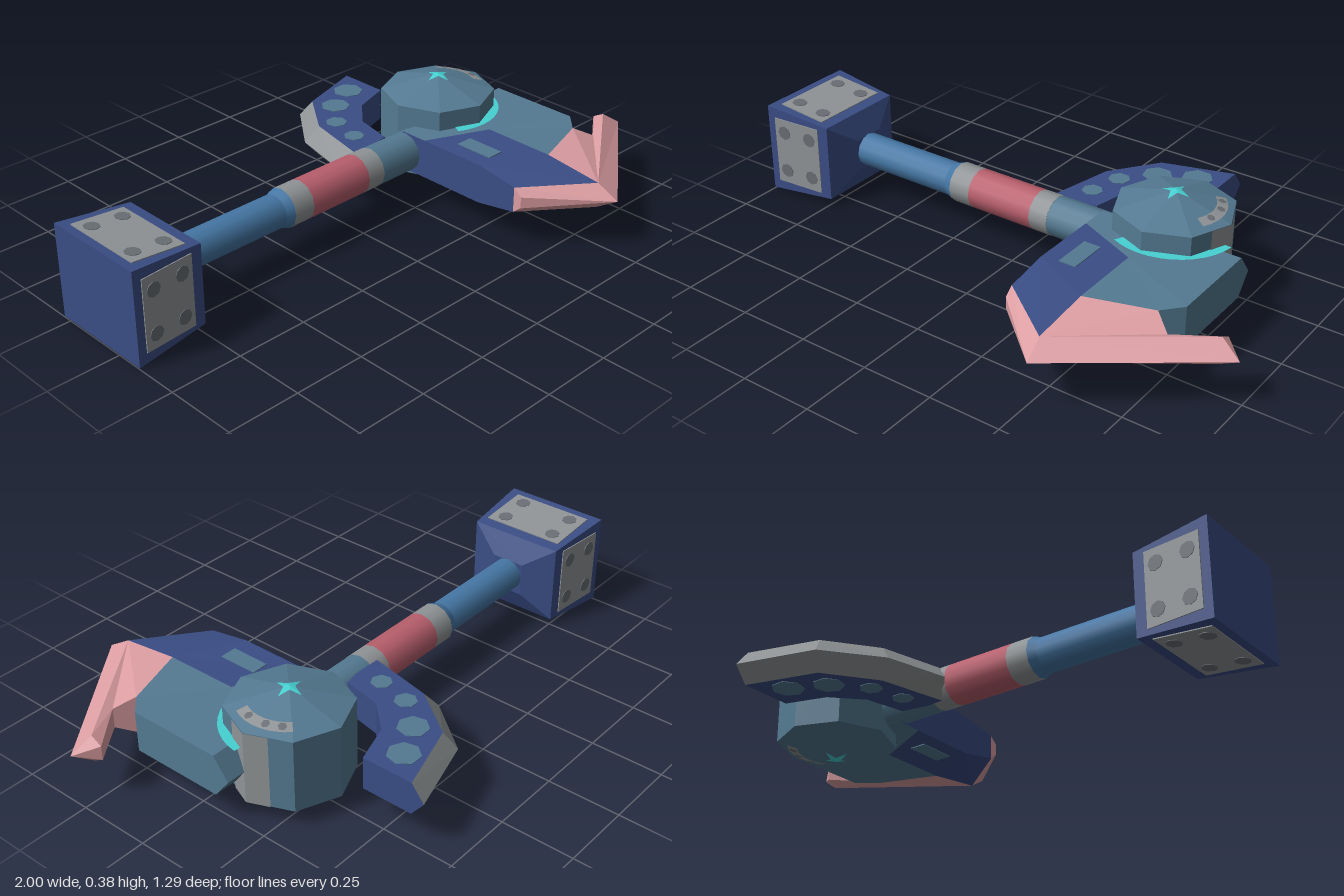
import * as THREE from 'three';

const mat = (name, color) => Object.assign(new THREE.MeshStandardMaterial({ color }), { name });

export function createModel() {
  const M = {
    navy: mat('navy', 0x3a4d85), steel: mat('steel blue', 0x547a92), shaft: mat('shaft blue', 0x4577a5),
    pink: mat('blade pink', 0xdc9ea2), red: mat('grip red', 0xb95f6d), gray: mat('gray', 0x909496),
    dark: mat('dark gray', 0x6a6f75), cyan: mat('cyan', 0x45d0d0),
  };
  const model = new THREE.Group();
  const group = (name, parent = model, x = 0, y = 0, z = 0) => {
    const g = new THREE.Group();
    g.name = name;
    g.position.set(x, y, z);
    parent.add(g);
    return g;
  };
  const add = (name, geo, m, parent = model, x = 0, y = 0, z = 0) => {
    const mesh = new THREE.Mesh(geo, m);
    mesh.name = name;
    mesh.position.set(x, y, z);
    parent.add(mesh);
    return mesh;
  };
  const flat = (geo) => {
    const g = geo.index ? geo.toNonIndexed() : geo;
    g.computeVertexNormals();
    return g;
  };

  // Slab symmetric about its mid plane: points are [x, z, half thickness],
  // faces are polygons of the upper side, walls are counter-clockwise edge runs
  function slab(name, pts, parts, parent) {
    for (const [key, { faces, walls = [] }] of Object.entries(parts)) {
      const pos = [];
      const v = (i, s) => pos.push(pts[i][0], s * pts[i][2], pts[i][1]);
      for (const f of faces) for (let k = 1; k < f.length - 1; k++) {
        let [a, b, c] = [f[0], f[k], f[k + 1]];
        const up = (pts[b][1] - pts[a][1]) * (pts[c][0] - pts[a][0]) - (pts[b][0] - pts[a][0]) * (pts[c][1] - pts[a][1]);
        if (up < 0) [b, c] = [c, b];
        v(a, 1); v(b, 1); v(c, 1);
        v(a, -1); v(c, -1); v(b, -1);
      }
      for (const w of walls) for (let k = 0; k < w.length - 1; k++) {
        const a = w[k], b = w[k + 1];
        v(a, -1); v(b, -1); v(b, 1);
        v(a, -1); v(b, 1); v(a, 1);
      }
      const g = new THREE.BufferGeometry();
      g.setAttribute('position', new THREE.Float32BufferAttribute(pos, 3));
      g.computeVertexNormals();
      add(name + ' ' + M[key].name, g, M[key], parent);
    }
  }

  // Handle: sections along x as [start, end, start radius, end radius, colour]
  const handle = group('handle', model, 0, 0.175, -0.09);
  const sections = [
    [-0.72, -0.31, 0.059, 0.059, 'shaft'], [-0.31, -0.28, 0.059, 0.07, 'shaft'],
    [-0.28, -0.2, 0.07, 0.07, 'gray'], [-0.2, 0.05, 0.07, 0.07, 'red'],
    [0.05, 0.12, 0.07, 0.07, 'gray'], [0.12, 0.4, 0.069, 0.069, 'steel'],
  ];
  for (const [a, b, r0, r1, c] of sections) {
    const s = add('handle section', new THREE.CylinderGeometry(r1, r0, b - a, 12), M[c], handle, (a + b) / 2);
    s.rotation.z = -Math.PI / 2;
  }

  // Pommel: two boxes narrowing towards the handle
  const pommel = group('pommel', model, 0, 0.17, -0.09);
  const taper = (x0, x1, y0, z0, y1, z1) => {
    const g = new THREE.BoxGeometry(x1 - x0, y0, z0).translate((x0 + x1) / 2, 0, 0);
    const p = g.attributes.position;
    for (let i = 0; i < p.count; i++) {
      if (p.getX(i) > (x0 + x1) / 2) p.setXYZ(i, p.getX(i), p.getY(i) * y1 / y0, p.getZ(i) * z1 / z0);
    }
    return flat(g);
  };
  add('pommel block', taper(-1, -0.74, 0.328, 0.38, 0.28, 0.34), M.navy, pommel);
  add('pommel collar', taper(-0.74, -0.7, 0.28, 0.34, 0.12, 0.12), M.navy, pommel);

  // Four riveted plates around the pommel
  for (let k = 0; k < 4; k++) {
    const odd = k % 2, width = odd ? 0.25 : 0.3;
    const side = group('pommel side', pommel);
    side.rotation.x = k * Math.PI / 2;
    const tilt = group('plate', side, -0.875, odd ? 0.181 : 0.153, 0);
    tilt.rotation.z = odd ? -0.077 : -0.092;
    add('plate panel', new THREE.BoxGeometry(0.19, 0.006, width), M.gray, tilt);
    for (const sx of [-1, 1]) for (const sz of [-1, 1]) {
      add('rivet', new THREE.CylinderGeometry(0.026, 0.026, 0.004, 8), M.dark, tilt,
        sx * 0.055, 0.003, sz * (width / 2 - 0.05));
    }
  }

  // Main blade with a pink cutting edge and spike
  const blade = group('blade', model, 0, 0.177, 0);
  slab('blade', [
    [0.29, -0.155, 0], [0.79, -0.155, 0], [0.29, -0.1, 0.07], [0.51, -0.1, 0.072], [0.79, -0.1, 0.072],
    [0.29, 0, 0.07], [0.51, 0.1, 0.072], [0.29, 0.25, 0.07], [0.51, 0.36, 0.07], [0.29, 0.4, 0.045],
    [0.51, 0.57, 0.045], [0.29, 0.43, 0.02], [0.52, 0.645, 0], [0.79, 0.23, 0.072], [0.73, 0.29, 0.068],
    [0.79, 0.335, 0.035], [0.93, 0.23, 0.025], [1, 0.29, 0], [0.93, 0.27, 0.047],
  ], {
    steel: { faces: [[0, 1, 4, 3, 2], [2, 3, 6, 5], [3, 4, 13, 6], [6, 13, 14, 8]], walls: [[14, 13, 4, 1, 0]] },
    navy: { faces: [[5, 6, 8, 7], [7, 8, 10, 9]], walls: [[0, 2, 5, 7, 9]] },
    pink: {
      faces: [[9, 10, 12, 11], [8, 14, 10], [14, 15, 10], [15, 18, 10], [15, 16, 18], [16, 17, 18], [10, 18, 17, 12]],
      walls: [[9, 11, 12, 17, 16, 15, 14]],
    },
  }, blade);

  // Curved rear hook with a gray sharpened outer edge: rows of outer, middle, inner
  const hook = group('hook', model, 0, 0.172, 0);
  const quads = (o) => [0, 3, 6].map((r) => [r + o, r + 3 + o, r + 4 + o, r + 1 + o]);
  slab('hook', [
    [0.04, -0.17, 0], [0.08, -0.11, 0.057], [0.24, -0.14, 0.057],
    [0.09, -0.385, 0], [0.135, -0.36, 0.057], [0.27, -0.28, 0.057],
    [0.23, -0.565, 0], [0.255, -0.525, 0.057], [0.36, -0.375, 0.057],
    [0.5, -0.645, 0], [0.5, -0.6, 0.057], [0.5, -0.42, 0.057],
  ], {
    gray: { faces: quads(0) },
    navy: { faces: quads(1), walls: [[0, 1, 2, 5, 8, 11, 10, 9]] },
  }, hook);

  // Orb: octagonal drum with shallow cones, gray panel around its outer corner
  const orb = group('orb', model, 0.52, 0.19, -0.155);
  add('orb drum', flat(new THREE.CylinderGeometry(0.2, 0.2, 0.254, 8, 1, true)), M.steel, orb);
  const panel = new THREE.CylinderGeometry(0.203, 0.203, 0.254, 2, 1, true, Math.PI * 3 / 8, Math.PI / 4);
  const pp = panel.attributes.position, ap = Math.cos(Math.PI / 8);
  for (let i = 0; i < pp.count; i++) {
    if (Math.abs(pp.getZ(i)) > 0.01) pp.setXYZ(i, pp.getX(i) * ap, pp.getY(i), pp.getZ(i) * ap);
  }
  add('orb panel', flat(panel), M.gray, orb);

  // Thin marks laid over the cone slope
  const drape = (geo) => {
    geo.rotateX(-Math.PI / 2);
    const p = geo.attributes.position;
    for (let i = 0; i < p.count; i++) p.setY(i, 0.188 - 0.3 * Math.hypot(p.getX(i), p.getZ(i)));
    return flat(geo);
  };
  const star = () => {
    const g = new THREE.CircleGeometry(0.05, 8), p = g.attributes.position;
    for (let i = 2; i < p.count; i += 2) p.setXY(i, p.getX(i) * 0.35, p.getY(i) * 0.35);
    return g;
  };

  // Upper and lower halves share cones, marks and patches
  for (const s of [1, -1]) {
    const half = group('orb cap', orb);
    half.scale.y = s;
    add('cone', flat(new THREE.CylinderGeometry(0, 0.2, 0.058, 8, 1, true)), M.steel, half, 0, 0.156, 0);
    add('star', drape(star()), M.cyan, half);
    add('cap arc', drape(new THREE.RingGeometry(0.13, 0.165, 8, 1, -0.5, 1.3)), M.gray, half);
    for (const t of [-0.2, 0.25, 0.6]) {
      const spot = new THREE.CircleGeometry(0.014, 6).translate(0.147 * Math.cos(t), 0.147 * Math.sin(t), 0);
      add('cap spot', drape(spot).translate(0, 0.002, 0), M.dark, half);
    }

    const marks = group('blade marks', blade);
    marks.scale.y = s;
    const halo = new THREE.RingGeometry(0.17, 0.218, 12, 1, -2.05, 1.95).rotateX(-Math.PI / 2);
    add('halo', halo, M.cyan, marks, 0.52, 0.0745, -0.155);
    add('blade patch', new THREE.BoxGeometry(0.06, 0.004, 0.14), M.steel, marks, 0.38, 0.0715, 0.17);

    const spots = group('hook marks', hook);
    spots.scale.y = s;
    for (const [x, z, r] of [[0.17, -0.22, 0.036], [0.2, -0.34, 0.038], [0.29, -0.44, 0.052], [0.41, -0.5, 0.054]]) {
      add('hook patch', new THREE.CylinderGeometry(r, r, 0.004, 7), M.steel, spots, x, 0.057, z);
    }
  }
  return model;
}
